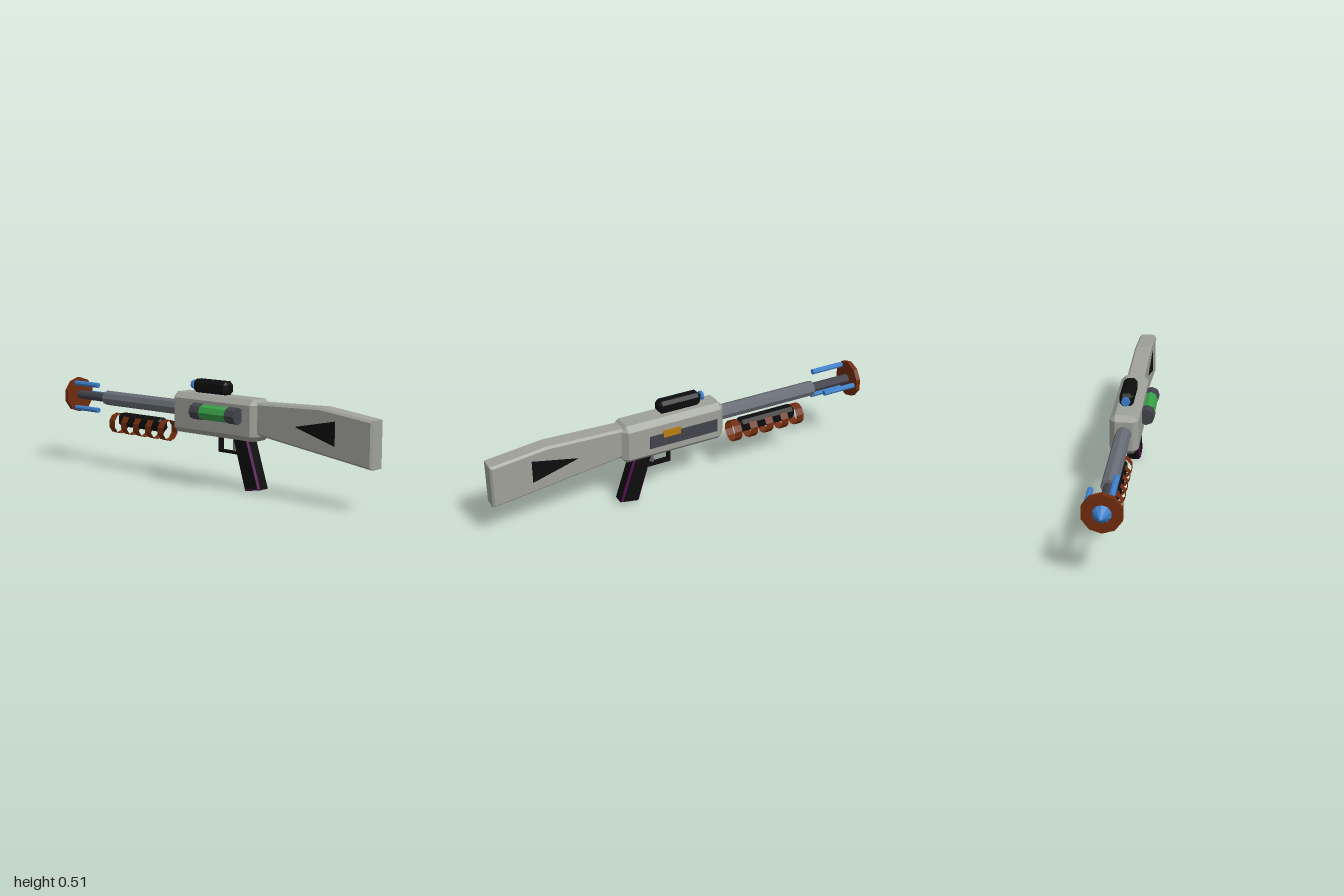
import * as THREE from 'three';
import { ConvexGeometry } from 'three/addons/geometries/ConvexGeometry.js';

const CX = 0.0185; // centre plane of the main parts
const AXIS_Y = 0.358; // barrel axis height

function mat(name, color, extra = {}) {
  const m = new THREE.MeshStandardMaterial({ color, flatShading: true, ...extra });
  m.name = name;
  return m;
}

// Box with every edge cut by c, given by its limits
function chamferBox(x0, x1, y0, y1, z0, z1, c) {
  const h = [(x1 - x0) / 2, (y1 - y0) / 2, (z1 - z0) / 2];
  const pts = [];
  for (const sx of [-1, 1]) for (const sy of [-1, 1]) for (const sz of [-1, 1]) {
    for (let full = 0; full < 3; full++) {
      const d = h.map((v, i) => (i === full ? v : v - c));
      pts.push(new THREE.Vector3(sx * d[0], sy * d[1], sz * d[2]));
    }
  }
  return new ConvexGeometry(pts).translate((x0 + x1) / 2, (y0 + y1) / 2, (z0 + z1) / 2);
}

function box(x0, x1, y0, y1, z0, z1) {
  return new THREE.BoxGeometry(x1 - x0, y1 - y0, z1 - z0)
    .translate((x0 + x1) / 2, (y0 + y1) / 2, (z0 + z1) / 2);
}

// Cylinder along z
function rod(r, z0, z1, sides, x = CX, y = AXIS_Y, open = false) {
  return new THREE.CylinderGeometry(r, r, z1 - z0, sides, 1, open)
    .rotateX(Math.PI / 2).translate(x, y, (z0 + z1) / 2);
}

// Side outline of [z, y] points, extruded across x with a bevel
function sideExtrude(points, width, bevel, x = CX) {
  const shape = new THREE.Shape(points.map(([z, y]) => new THREE.Vector2(-z, y)));
  return new THREE.ExtrudeGeometry(shape, {
    depth: width - 2 * bevel, bevelEnabled: bevel > 0, bevelSegments: 1,
    bevelSize: bevel, bevelThickness: bevel, bevelOffset: -bevel,
  }).rotateY(Math.PI / 2).translate(x - width / 2 + bevel, 0, 0);
}

export function createModel() {
  const model = new THREE.Group();
  const shell = mat('pale grey shell', 0x9fa19a);
  const steel = mat('steel', 0x676c75);
  const dark = mat('dark grey', 0x42424b);
  const black = mat('black', 0x0d0d0d);
  const copper = mat('copper brown', 0x702c0d, { side: THREE.DoubleSide });
  const blue = mat('blue crystal', 0x3d80cb);
  const green = mat('green cell', 0x38a048);
  const orange = mat('orange', 0xbd7d10);
  const purple = mat('purple trim', 0x580c5a);

  const add = (name, geometry, material) => {
    const mesh = new THREE.Mesh(geometry, material);
    mesh.name = name;
    model.add(mesh);
    return mesh;
  };

  // Receiver and shoulder stock
  add('receiver', chamferBox(-0.05, 0.087, 0.245, 0.443, -0.177, 0.36, 0.026), shell);
  add('stock', sideExtrude(
    [[1, 0.195], [1, 0.41], [0.725, 0.442], [0.345, 0.43], [0.345, 0.28]], 0.087, 0.01), shell);
  for (const s of [-1, 1]) {
    add('stockTriangle', sideExtrude(
      [[0.804, 0.278], [0.804, 0.39], [0.58, 0.343]], 0.006, 0, CX + s * 0.0435), black);
  }

  // Side panel with its switch
  add('sidePanel', box(0.084, 0.089, 0.303, 0.37, -0.135, 0.225), dark);
  add('sideSwitch', box(0.084, 0.092, 0.348, 0.386, 0.065, 0.155), orange);

  // Sight on top
  add('sight', chamferBox(-0.015, 0.052, 0.445, 0.51, -0.067, 0.154, 0.016), black);
  add('sightLens', rod(0.022, -0.087, -0.074, 8, CX, 0.48), blue);

  // Energy cell on the other side
  add('cell', rod(0.037, 0.05, 0.23, 8, -0.0705, 0.366), green);
  add('cellCapFront', rod(0.04, 0, 0.06, 8, -0.0705, 0.366), dark);
  add('cellCapRear', rod(0.04, 0.225, 0.283, 8, -0.0705, 0.366), dark);

  // Grip: purple bevels with a black core
  const grip = [[0.367, 0.02], [0.273, 0.003], [0.196, 0.255], [0.29, 0.255]];
  add('gripTrim', sideExtrude(grip, 0.072, 0.009), [black, purple]);
  const core = grip.map(([z, y]) => [0.2815 + (z - 0.2815) * 1.01, 0.133 + (y - 0.133) * 1.01]);
  add('gripCore', sideExtrude(core, 0.053, 0), black);

  // Trigger and its guard
  add('trigger', box(CX - 0.008, CX + 0.008, 0.185, 0.25, 0.178, 0.189), steel);
  add('guardBar', box(CX - 0.014, CX + 0.014, 0.168, 0.179, 0.09, 0.24), black);
  add('guardPost', box(CX - 0.014, CX + 0.014, 0.168, 0.25, 0.09, 0.101), black);

  // Barrel, muzzle disc and tip
  add('barrel', rod(0.038, -0.71, -0.17, 8), steel);
  add('innerBarrel', rod(0.024, -0.935, -0.7, 8), dark);
  add('muzzleDisc', rod(0.092, -0.945, -0.923, 10), copper);
  add('muzzleTip', new THREE.ConeGeometry(0.044, 0.057, 10)
    .rotateX(-Math.PI / 2).translate(CX, AXIS_Y, -0.9715), blue);

  // Three rods around the muzzle
  for (let i = 0; i < 3; i++) {
    const a = (i * Math.PI * 2) / 3;
    add('muzzleRod', rod(0.0135, -0.913, -0.737, 8,
      CX + 0.076 * Math.cos(a), AXIS_Y + 0.076 * Math.sin(a)), blue);
  }

  // Fore grip wrapped in copper bands
  add('foreGrip', chamferBox(CX - 0.033, CX + 0.033, 0.222, 0.29, -0.605, -0.285, 0.017), black);
  for (let i = 0; i < 5; i++) {
    const z = -0.267 - i * 0.0885;
    add('foreGripBand', rod(0.053, z - 0.021, z + 0.021, 10, CX, 0.233, true), copper);
  }
  return model;
}
